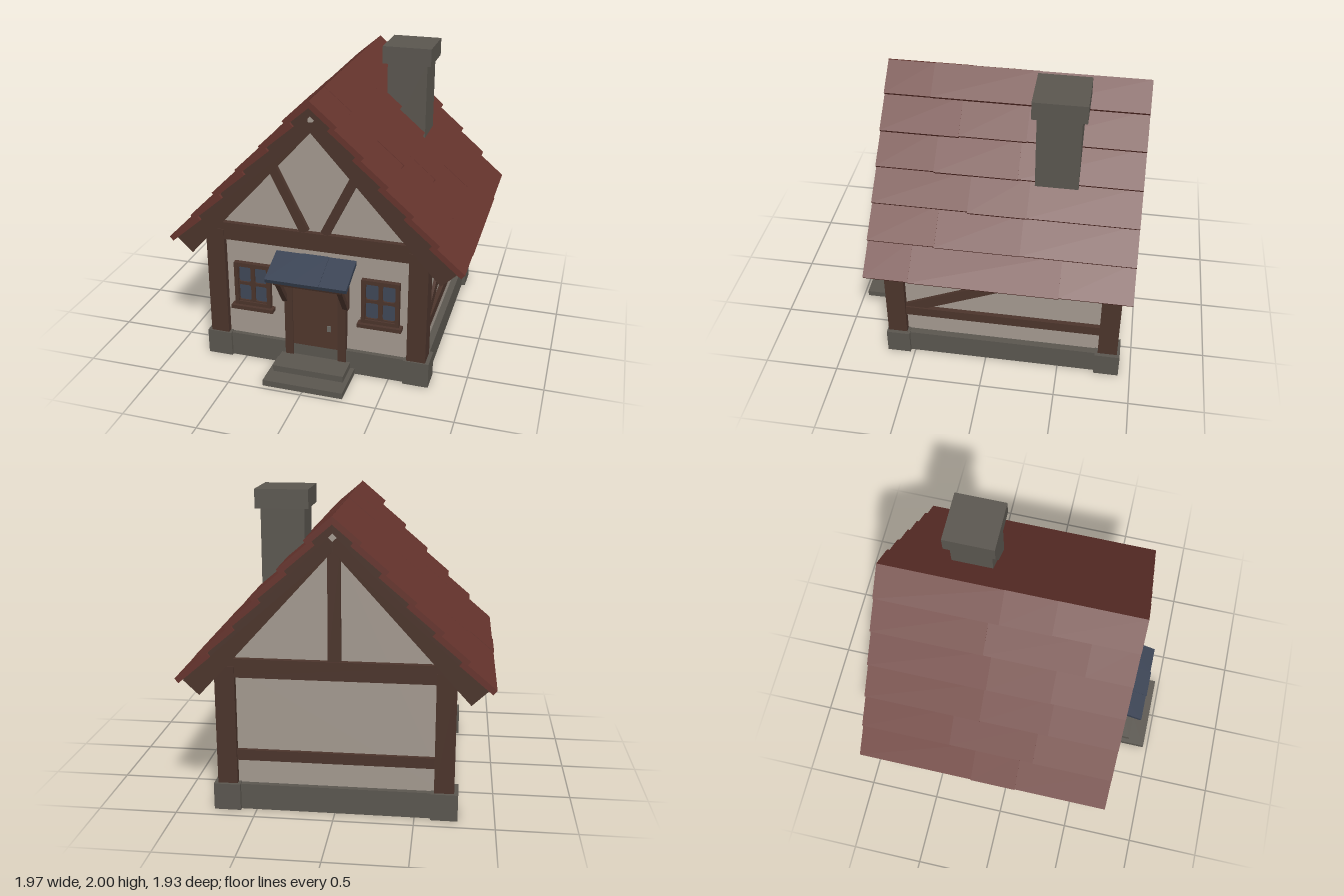
import * as THREE from 'three';

const mat = (name, color) => Object.assign(new THREE.MeshStandardMaterial({ color }), { name });

export function createModel() {
  const root = new THREE.Group();
  root.name = 'cottage';
  const stone = mat('stone', 0x5a564f);
  stone.side = THREE.DoubleSide; // the foundation is open underneath
  const wood = mat('timber', 0x4b342b);
  const plaster = mat('plaster', 0xa3998f);
  const doorWood = mat('door wood', 0x50372c);
  const tile = mat('roof tile', 0x66342d);
  const awningBlue = mat('awning blue', 0x384152);
  const glass = mat('window glass', 0x3f4757);
  const metal = mat('handle metal', 0x6b6862);

  const add = (name, geo, material, parent = root) => {
    const m = new THREE.Mesh(geo, material);
    m.name = name;
    parent.add(m);
    return m;
  };
  // Box given by its limits on each axis
  const box = (name, material, x0, x1, y0, y1, z0, z1, parent) => {
    const m = add(name, new THREE.BoxGeometry(Math.abs(x1 - x0), y1 - y0, Math.abs(z1 - z0)), material, parent);
    m.position.set((x0 + x1) / 2, (y0 + y1) / 2, (z0 + z1) / 2);
    return m;
  };
  // Box without its bottom face
  const openBox = (...args) => {
    const { geometry } = box(...args);
    geometry.setIndex(Array.from(geometry.index.array).filter((_, i) => i < 18 || i >= 24));
    geometry.clearGroups();
  };
  const shapeOf = (pts) => new THREE.Shape(pts.map(([x, y]) => new THREE.Vector2(x, y)));
  const prism = (name, material, shape, z0, z1, parent) => {
    const geo = new THREE.ExtrudeGeometry(shape, { depth: z1 - z0, bevelEnabled: false, curveSegments: 4 });
    return add(name, geo, material, parent).translateZ(z0);
  };
  const sides = [1, -1];
  const BACK = -0.86, FRONT = 0.64; // wall planes

  // Hollow foundation with raised floor, corner stones and corner posts
  openBox('foundation', stone, -0.745, 0.745, 0, 0.17, -0.895, 0.67);
  box('floor', stone, -0.74, 0.74, 0.155, 0.165, -0.89, 0.665);
  for (const s of sides) {
    for (const [a, b, c, d] of [[0.53, 0.69, 0.55, 0.68], [-0.92, -0.75, -0.9, -0.77]]) {
      openBox('cornerStone', stone, s * 0.6, s * 0.77, 0, 0.175, a, b);
      box('cornerPost', wood, s * 0.62, s * 0.745, 0.17, 0.95, c, d);
    }
  }

  // Plastered body with gables
  prism('walls', plaster, shapeOf([[-0.7, 0.16], [0.7, 0.16], [0.7, 0.98], [0, 1.73], [-0.7, 0.98]]), BACK, FRONT);

  // Timber framing on front and back
  box('frontBeam', wood, -0.745, 0.745, 0.88, 1.0, FRONT - 0.02, 0.675);
  box('backBeam', wood, -0.745, 0.745, 0.88, 1.0, -0.895, BACK + 0.02);
  box('backRail', wood, -0.63, 0.63, 0.33, 0.4, -0.885, BACK + 0.02);
  box('backGablePost', wood, -0.04, 0.04, 0.99, 1.72, -0.885, BACK + 0.02);
  for (const s of sides) {
    const strut = add('gableStrut', new THREE.BoxGeometry(0.06, 0.5, 0.04), wood);
    strut.position.set(s * 0.178, 1.224, 0.65);
    strut.rotation.z = -s * 0.46;

    // Side rail and diagonal brace, turned half round on the other wall
    box('sideRail', wood, s * 0.68, s * 0.73, 0.33, 0.4, -0.78, 0.56);
    const brace = add('sideBrace', new THREE.BoxGeometry(0.04, 0.077, 1.45), wood);
    brace.position.set(s * 0.7, 0.655, -0.11 + s * 0.03);
    brace.rotation.x = s * 0.414;
  }

  // Roof deck and barge boards
  prism('roofDeck', wood, shapeOf([[0, 1.883], [0.93, 0.87], [0.89, 0.83], [0, 1.77],
    [-0.89, 0.83], [-0.93, 0.87]]), -0.895, 0.67);
  const barge = shapeOf([[0, 1.883], [0.93, 0.87], [0.83, 0.775], [0, 1.69], [-0.83, 0.775], [-0.93, 0.87]]);
  barge.holes.push(new THREE.Path([[0, 1.795], [0.025, 1.77], [0, 1.745], [-0.025, 1.77]]
    .map(([x, y]) => new THREE.Vector2(x, y))));
  prism('frontBargeBoard', wood, barge, 0.665, 0.72);
  prism('backBargeBoard', wood, barge, -0.945, -0.89);
  box('frontPegHole', plaster, -0.03, 0.03, 1.74, 1.8, 0.668, 0.674);
  box('backPegHole', plaster, -0.03, 0.03, 1.74, 1.8, -0.899, -0.893);

  // Overlapping tile courses, each split into a few uneven lengths
  let seed = 7;
  const rand = () => (seed = (seed * 16807) % 2147483647) / 2147483647;
  const dx = -0.762, dy = 0.648, T = 0.037;
  for (const s of sides) {
    const roof = new THREE.Group();
    roof.name = s > 0 ? 'leftRoofTiles' : 'rightRoofTiles';
    root.add(roof);
    for (let row = 0; row < 6; row++) {
      const cuts = [-0.96, -0.5 + rand() * 0.35, 0.1 + rand() * 0.38, 0.74];
      for (let k = 0; k < 3; k++) {
        const slip = (rand() - 0.5) * 0.012, lift = (rand() - 0.5) * 0.006;
        const ax = 0.981 - row * 0.1612 - dx * slip + dy * lift;
        const ay = 0.881 + row * 0.174 - dy * slip - dx * lift;
        const len = row === 5 ? ax / -dx : 0.268;
        const cx = ax + dx * len, cy = ay + dy * len;
        const end = row === 5 ? [0, cy - T / 0.762] : [cx - dy * T, cy + dx * T];
        const pts = [[ax, ay], [cx, cy], end, [ax - dy * T, ay + dx * T]];
        prism('tileCourse', tile, shapeOf(pts.map(([x, y]) => [s * x, y])), cuts[k], cuts[k + 1], roof);
      }
    }
  }

  // Chimney
  box('chimneyShaft', stone, 0.225, 0.5, 1.3, 1.9, -0.56, -0.285);
  box('chimneyCap', stone, 0.195, 0.53, 1.88, 2.0, -0.592, -0.255);

  // Door, frame and steps
  box('door', doorWood, -0.165, 0.165, 0.165, 0.68, 0.62, 0.672);
  box('doorLintel', wood, -0.21, 0.21, 0.67, 0.73, 0.62, 0.682);
  for (const s of sides) box('doorJamb', wood, s * 0.155, s * 0.21, 0.08, 0.68, 0.62, 0.682);
  box('doorHandle', metal, 0.083, 0.107, 0.3, 0.34, 0.66, 0.682);
  openBox('lowerStep', stone, -0.27, 0.27, 0, 0.042, 0.672, 0.968);
  box('upperStep', stone, -0.24, 0.24, 0.038, 0.085, 0.672, 0.848);

  // Awning of three boards on rails and struts
  const awning = new THREE.Group();
  awning.name = 'awning';
  awning.position.set(0, 0.762, 0.764);
  awning.rotation.x = 0.38;
  root.add(awning);
  [-0.18, 0, 0.18].forEach((x, i) => {
    const lift = i === 1 ? 0.004 : 0;
    box('awningBoard', awningBlue, x - 0.09, x + 0.09, -0.012 + lift, 0.018 + lift, -0.14, 0.112 + lift, awning);
  });
  box('awningUnderside', wood, -0.225, 0.225, -0.042, -0.012, -0.12, 0.1, awning);
  for (const s of sides) {
    const strut = add('awningStrut', new THREE.BoxGeometry(0.035, 0.25, 0.03), wood);
    strut.position.set(s * 0.207, 0.595, 0.74);
    strut.rotation.x = 0.61;
    box('awningWallPost', wood, s * 0.19, s * 0.225, 0.48, 0.72, 0.64, 0.68);
  }

  // Windows: frame with four rounded openings, glass behind, sill below
  const roundedRect = (x, y, w, h, r) => new THREE.Path()
    .moveTo(x + r, y).lineTo(x + w - r, y).quadraticCurveTo(x + w, y, x + w, y + r)
    .lineTo(x + w, y + h - r).quadraticCurveTo(x + w, y + h, x + w - r, y + h)
    .lineTo(x + r, y + h).quadraticCurveTo(x, y + h, x, y + h - r)
    .lineTo(x, y + r).quadraticCurveTo(x, y, x + r, y);
  for (const s of sides) {
    const win = new THREE.Group();
    win.name = s > 0 ? 'leftWindow' : 'rightWindow';
    win.position.x = s * 0.437;
    root.add(win);
    const sash = shapeOf([[-0.105, 0.425], [0.105, 0.425], [0.105, 0.7], [-0.105, 0.7]]);
    for (const x of [-0.098, 0.014]) {
      for (const y of [0.437, 0.573]) sash.holes.push(roundedRect(x, y, 0.084, 0.115, 0.018));
    }
    prism('windowSash', wood, sash, 0.63, 0.662, win);
    box('windowGlass', glass, -0.1, 0.1, 0.43, 0.695, 0.643, 0.65, win);
    for (const t of sides) box('windowSide', wood, t * 0.1, t * 0.126, 0.4, 0.717, 0.62, 0.675, win);
    box('windowHead', wood, -0.126, 0.126, 0.69, 0.717, 0.62, 0.674, win);
    box('windowFoot', wood, -0.126, 0.126, 0.4, 0.43, 0.62, 0.674, win);
    box('windowSill', wood, -0.147, 0.147, 0.38, 0.406, 0.62, 0.698, win);
  }
  return root;
}
